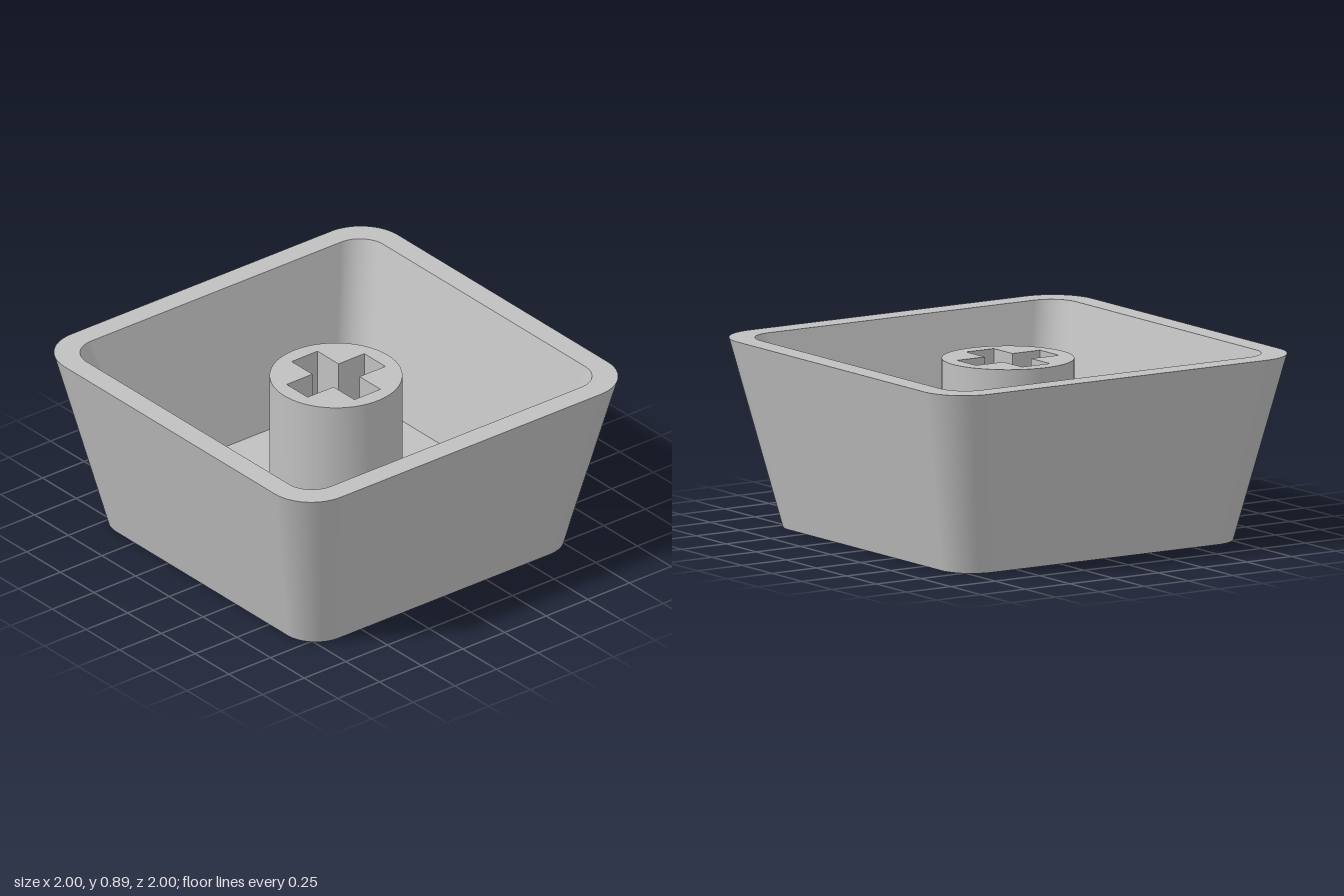
import * as THREE from 'three';
import { toCreasedNormals } from 'three/addons/utils/BufferGeometryUtils.js';

const HEIGHT = 0.89, FLOOR = 0.18, STEM_TOP = 0.83;

// Square outline with rounded corners, counter-clockwise: half width h, corner radius r
function outline(h, r, steps = 12) {
  const points = [];
  const c = h - r;
  [[1, 1], [-1, 1], [-1, -1], [1, -1]].forEach(([sx, sy], q) => {
    for (let i = 0; i <= steps; i++) {
      const a = (q + i / steps) * Math.PI / 2;
      points.push(new THREE.Vector2(sx * c + r * Math.cos(a), sy * c + r * Math.sin(a)));
    }
  });
  return points;
}

// Smooth wall between two outlines; it faces outward when y0 is below y1
function wall(from, y0, to, y1) {
  const n = from.length, pos = [], index = [];
  from.forEach(p => pos.push(p.x, y0, -p.y));
  to.forEach(p => pos.push(p.x, y1, -p.y));
  for (let i = 0; i < n; i++) {
    const j = (i + 1) % n;
    index.push(i, j, n + j, i, n + j, n + i);
  }
  const geo = new THREE.BufferGeometry();
  geo.setAttribute('position', new THREE.Float32BufferAttribute(pos, 3));
  geo.setIndex(index);
  geo.computeVertexNormals();
  return geo;
}

// Flat face at height y, optionally with a hole
function plate(points, y, facing = 1, hole = null) {
  const shape = new THREE.Shape(points);
  if (hole) shape.holes.push(new THREE.Path(hole));
  return new THREE.ShapeGeometry(shape).rotateX(-facing * Math.PI / 2).translate(0, y, 0);
}

export function createModel() {
  const model = new THREE.Group();
  model.name = 'upturnedKeycap';
  const grey = new THREE.MeshStandardMaterial({ color: 0xc0c0c0 });
  grey.name = 'light grey plastic';
  const add = (name, geo) => {
    const mesh = new THREE.Mesh(geo, grey);
    mesh.name = name;
    model.add(mesh);
  };

  const base = outline(0.805, 0.17), rim = outline(1, 0.22);
  const innerRim = outline(0.89, 0.14), innerFloor = outline(0.695, 0.14);

  // Tapered hollow shell
  add('outerWall', wall(base, 0, rim, HEIGHT));
  add('innerWall', wall(innerRim, HEIGHT, innerFloor, FLOOR));
  add('rim', plate(rim, HEIGHT, 1, innerRim));
  add('innerFloor', plate(innerFloor, FLOOR));
  add('underside', plate(base, 0, -1));

  // Round stem with a cross-shaped socket
  const stem = new THREE.Shape().absarc(0, 0, 0.31, 0, Math.PI * 2, false);
  const w = 0.078, l = 0.233;
  stem.holes.push(new THREE.Path([
    [l, w], [l, -w], [w, -w], [w, -l], [-w, -l], [-w, -w],
    [-l, -w], [-l, w], [-w, w], [-w, l], [w, l], [w, w],
  ].map(p => new THREE.Vector2(...p))));
  const stemGeo = new THREE.ExtrudeGeometry(stem, {
    depth: STEM_TOP - FLOOR, bevelEnabled: false, curveSegments: 48,
  });
  stemGeo.rotateX(-Math.PI / 2).translate(0, FLOOR, 0);
  add('stem', toCreasedNormals(stemGeo, 0.6));

  return model;
}
